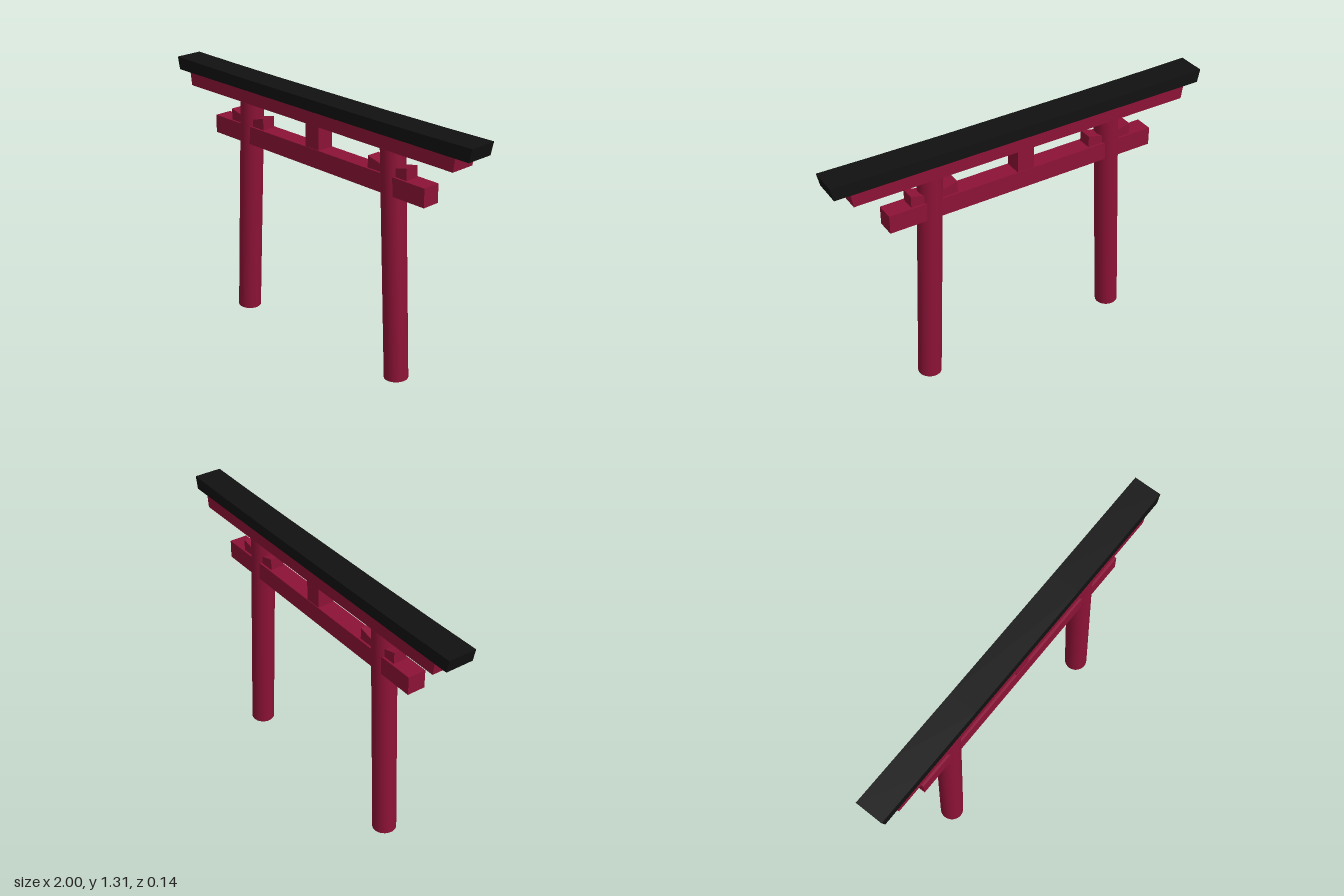
import * as THREE from 'three';

const red = new THREE.MeshStandardMaterial({ color: 0x8c1236 });
const black = new THREE.MeshStandardMaterial({ color: 0x111111 });

// Extrudes a front-facing outline symmetrically about z = 0
function slab(name, points, depth, material) {
  const shape = new THREE.Shape(points.map(([x, y]) => new THREE.Vector2(x, y)));
  const geometry = new THREE.ExtrudeGeometry(shape, { depth, bevelEnabled: false });
  geometry.translate(0, 0, -depth / 2);
  const mesh = new THREE.Mesh(geometry, material);
  mesh.name = name;
  return mesh;
}

// Square-cut bar between two heights
function block(name, halfWidth, y0, y1, depth) {
  const mesh = new THREE.Mesh(new THREE.BoxGeometry(halfWidth * 2, y1 - y0, depth), red);
  mesh.position.y = (y0 + y1) / 2;
  mesh.name = name;
  return mesh;
}

export function createModel() {
  const gate = new THREE.Group();
  gate.name = 'gate';

  // Roof beam: flared ends and a top that rises gently in five straight runs
  gate.add(slab('roofBeam', [
    [-0.986, 1.247], [0.986, 1.247],
    [1, 1.313], [0.74, 1.309], [0.37, 1.306],
    [-0.37, 1.306], [-0.74, 1.309], [-1, 1.313],
  ], 0.144, black));

  // Upper lintel with slightly flared ends
  gate.add(slab('upperLintel', [
    [-0.896, 1.178], [0.896, 1.178], [0.906, 1.248], [-0.906, 1.248],
  ], 0.13, red));

  // Tie beam and central strut
  gate.add(block('tieBeam', 0.725, 0.957, 1.051, 0.094));
  gate.add(block('centreStrut', 0.045, 1.045, 1.185, 0.088));

  for (const [side, s] of [['left', 1], ['right', -1]]) {
    // Pillar leaning inwards
    const foot = new THREE.Vector3(s * 0.546, 0.003, 0);
    const head = new THREE.Vector3(s * 0.486, 1.19, 0);
    const axis = head.clone().sub(foot);
    const pillar = new THREE.Mesh(new THREE.CylinderGeometry(0.06, 0.06, axis.length(), 32), red);
    pillar.position.copy(foot).add(head).multiplyScalar(0.5);
    pillar.quaternion.setFromUnitVectors(new THREE.Vector3(0, 1, 0), axis.normalize());
    pillar.name = side + 'Pillar';
    gate.add(pillar);

    // Wedges on both sides of the pillar, sloping down towards it
    const wedges = slab(side + 'Wedges', [
      [-0.121, 1.045], [0.121, 1.045], [0.121, 1.11], [0, 1.08], [-0.121, 1.11],
    ], 0.072, red);
    wedges.position.x = s * 0.486;
    gate.add(wedges);
  }

  return gate;
}
